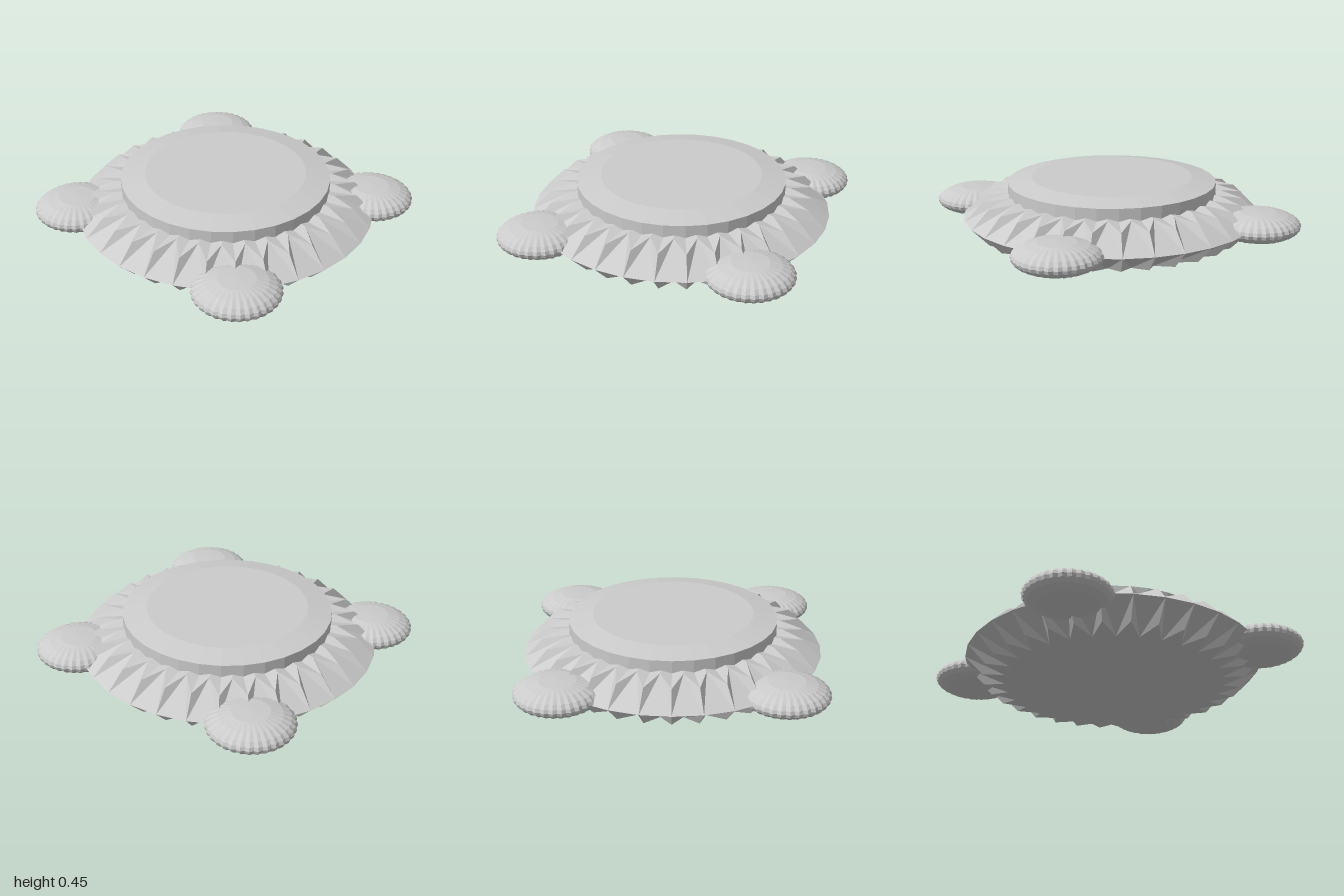
import * as THREE from 'three';

const TEETH = 32;
const material = new THREE.MeshStandardMaterial({ color: 0xcccccc, flatShading: true });

function mesh(name, geometry) {
  const m = new THREE.Mesh(geometry, material);
  m.name = name;
  return m;
}

// Disc with a sharp round rim; ridges and grooves alternate above and below it
function hullGeometry() {
  const pos = [];
  const step = (Math.PI * 2) / TEETH;
  for (const side of [1, -1]) {
    const point = (r, h, k) => [r * Math.sin(k * step), 0.2 + side * h, r * Math.cos(k * step)];
    const tri = (a, b, c) => pos.push(...a, ...(side > 0 ? b : c), ...(side > 0 ? c : b));
    const apex = point(0, 0.197, 0);
    for (let k = 0; k < TEETH; k++) {
      const rim0 = point(1, 0, k), rim1 = point(1, 0, k + 1);
      const ridge0 = point(0.88, 0.122, k), ridge1 = point(0.88, 0.122, k + 1);
      const groove = point(0.735, 0.152, k + 0.5);
      tri(rim0, rim1, groove);
      tri(rim0, groove, ridge0);
      tri(rim1, ridge1, groove);
      tri(apex, ridge0, groove);
      tri(apex, groove, ridge1);
    }
  }
  const g = new THREE.BufferGeometry();
  g.setAttribute('position', new THREE.Float32BufferAttribute(pos, 3));
  g.computeVertexNormals();
  return g;
}

// Flattened pod with a scalloped edge: every second meridian is drawn inward
function podGeometry() {
  const profile = [
    [0, -0.095], [0.12, -0.089], [0.2, -0.07], [0.25, -0.046], [0.275, -0.022],
    [0.283, 0], [0.275, 0.022], [0.25, 0.046], [0.2, 0.07], [0.12, 0.089], [0, 0.095],
  ].map(([r, y]) => new THREE.Vector2(r, y));
  const g = new THREE.LatheGeometry(profile, TEETH * 2);
  const p = g.attributes.position;
  for (let i = 0; i < p.count; i++) {
    const meridian = Math.floor(i / profile.length);
    const ring = i % profile.length;
    if (meridian % 2 === 1 && profile[ring].x > 0.15) {
      p.setX(i, p.getX(i) * 0.96);
      p.setZ(i, p.getZ(i) * 0.96);
    }
  }
  g.computeVertexNormals();
  return g;
}

export function createModel() {
  const model = new THREE.Group();
  model.name = 'saucer';
  model.add(mesh('hull', hullGeometry()));

  // Raised deck with a bevelled top edge
  const deck = [[0, 0.3], [0.7, 0.3], [0.7, 0.42], [0.54, 0.45], [0, 0.45]];
  model.add(mesh('deck', new THREE.LatheGeometry(deck.map(([r, y]) => new THREE.Vector2(r, y)), 32)));

  // Four pods on the diagonals
  const pod = podGeometry();
  for (const x of [1, -1]) {
    for (const z of [1, -1]) {
      const m = mesh(`${z > 0 ? 'front' : 'back'}${x > 0 ? 'Left' : 'Right'}Pod`, pod);
      m.position.set(x * 0.707, 0.204, z * 0.707);
      model.add(m);
    }
  }
  return model;
}
